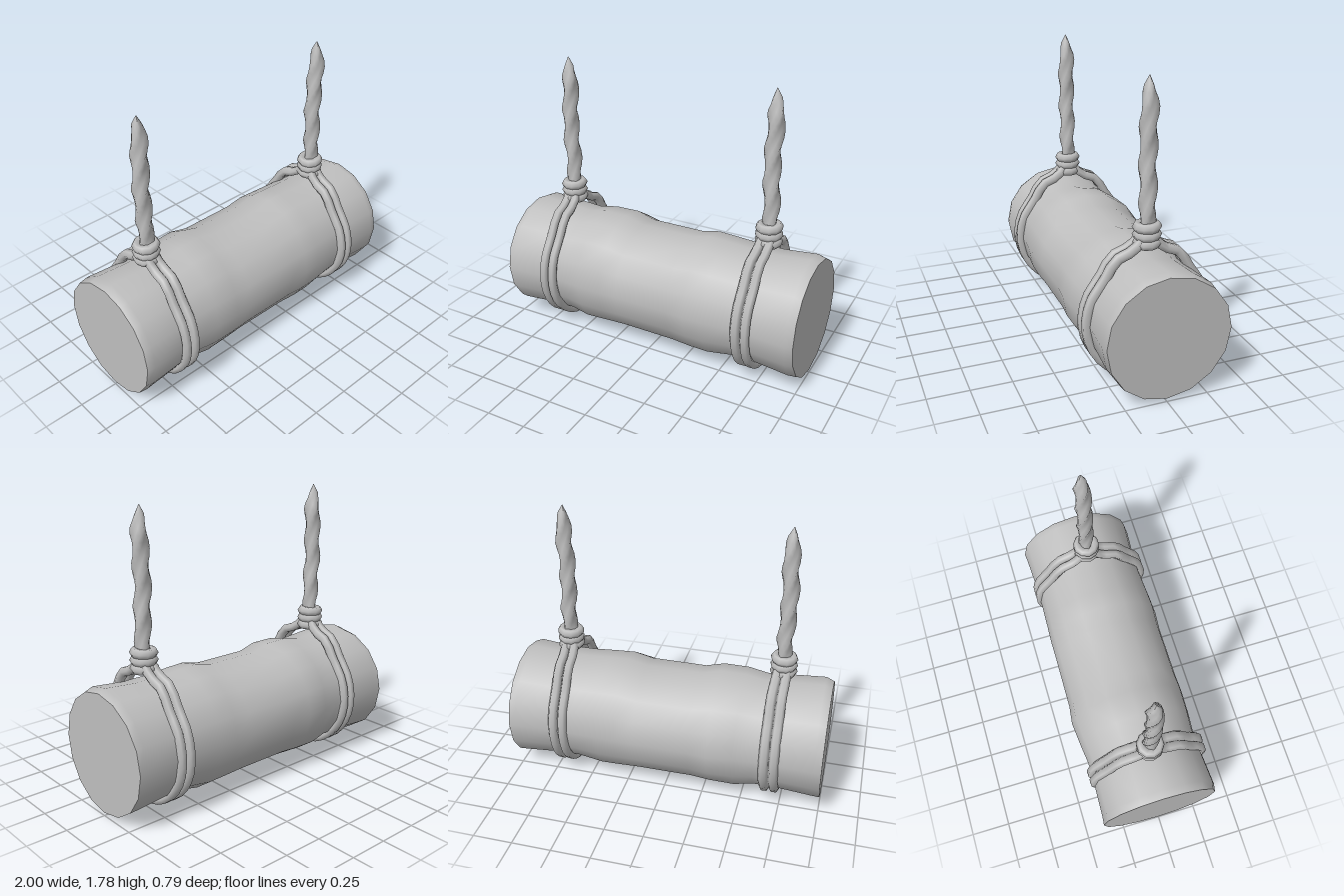
import * as THREE from 'three';

const grey = new THREE.MeshStandardMaterial({ color: 0xbfbfbf });
grey.name = 'grey';

// Joins rings of points into a smooth skin, with optional flat end caps.
function loft(rings, caps) {
  const n = rings[0].length, pos = [], index = [];
  rings.forEach(r => r.forEach(p => pos.push(...p)));
  for (let i = 0; i < rings.length - 1; i++) {
    for (let j = 0; j < n; j++) {
      const a = i * n + j, b = i * n + (j + 1) % n;
      index.push(a, b, a + n, b, b + n, a + n);
    }
  }
  if (caps) {
    [rings[0], rings[rings.length - 1]].forEach((r, end) => {
      const s = pos.length / 3;
      r.forEach(p => pos.push(...p));
      for (let j = 1; j < n - 1; j++) {
        index.push(s, end ? s + j : s + j + 1, end ? s + j + 1 : s + j);
      }
    });
  }
  const g = new THREE.BufferGeometry();
  g.setAttribute('position', new THREE.Float32BufferAttribute(pos, 3));
  g.setIndex(index);
  g.computeVertexNormals();
  return g;
}

function add(parent, geometry, name) {
  const mesh = new THREE.Mesh(geometry, grey);
  mesh.name = name;
  parent.add(mesh);
  return mesh;
}

// Uneven log: x, top y, bottom y, front z, back z at each station
function logGeometry() {
  const stations = [
    [-1, 0.765, 0.03, 0.365, -0.385],
    [-0.95, 0.79, 0.03, 0.375, -0.38],
    [-0.72, 0.775, 0.05, 0.36, -0.37],
    [-0.58, 0.765, 0.05, 0.355, -0.37],
    [-0.46, 0.79, 0.02, 0.365, -0.385],
    [-0.3, 0.79, 0.035, 0.37, -0.4],
    [-0.18, 0.755, 0.04, 0.365, -0.385],
    [0.18, 0.757, 0.035, 0.365, -0.38],
    [0.3, 0.785, 0.028, 0.375, -0.38],
    [0.42, 0.78, 0.02, 0.37, -0.375],
    [0.58, 0.77, 0.055, 0.36, -0.37],
    [0.74, 0.77, 0.05, 0.355, -0.37],
    [0.95, 0.79, 0.03, 0.37, -0.38],
    [1, 0.77, 0.03, 0.36, -0.385]
  ];
  const sides = 16, cy = 0.405;
  return loft(stations.map(([x, top, bottom, front, back]) =>
    Array.from({ length: sides }, (_, j) => {
      const a = j / sides * Math.PI * 2, c = Math.cos(a), s = Math.sin(a);
      return [x, cy + c * (c > 0 ? top - cy : cy - bottom), s * (s > 0 ? front : -back)];
    })), true);
}

// Three-lobed twisted rope ending in a blunt point
function ropeGeometry() {
  const sides = 9, steps = 22, rings = [];
  for (let i = 0; i <= steps; i++) {
    const t = i / steps, y = 0.9 + 0.84 * t;
    const scale = Math.min(1, 0.85 + t * 0.6, 0.55 + (1 - t) * 4);
    rings.push(Array.from({ length: sides }, (_, j) => {
      const a = j / sides * Math.PI * 2;
      const r = (0.046 + 0.009 * Math.cos(3 * a)) * scale, w = a + t * 8;
      return [Math.sin(w) * r + 0.005 * Math.sin(t * 9), y, Math.cos(w) * r];
    }));
  }
  const last = rings[steps];
  rings.push(last.map(p => [p[0] * 0.08, 1.79, p[2] * 0.08]));
  return loft(rings, true);
}

// One strand passing under the log and rising to the knot on both sides
function strandGeometry(x, knotX) {
  const points = [[knotX, 0.9, 0.02], [x * 0.7 + knotX * 0.3, 0.825, 0.08], [x, 0.775, 0.19]]
    .map(p => new THREE.Vector3(...p));
  const count = 13;
  for (let i = 0; i <= count; i++) {
    const a = 0.8 + i / count * (Math.PI * 2 - 1.6);
    points.push(new THREE.Vector3(x, 0.405 + Math.cos(a) * 0.367, Math.sin(a) * 0.367));
  }
  for (let i = 2; i >= 0; i--) {
    points.push(new THREE.Vector3(points[i].x, points[i].y, -points[i].z));
  }
  return new THREE.TubeGeometry(new THREE.CatmullRomCurve3(points), 36, 0.031, 6);
}

export function createModel() {
  const model = new THREE.Group();
  model.name = 'hangingLog';
  add(model, logGeometry(), 'log');

  [['right', -0.692, [-0.712, -0.65]], ['left', 0.684, [0.643, 0.705]]].forEach(([side, x, strands]) => {
    const hanger = new THREE.Group();
    hanger.name = side + 'Hanger';
    model.add(hanger);
    add(hanger, ropeGeometry(), 'twistedRope').position.x = x;
    strands.forEach((sx, i) =>
      add(hanger, strandGeometry(sx, x + (i ? 0.025 : -0.025)), 'loopStrand' + (i + 1)));
    // Three wraps bind the rope above the log
    [0.855, 0.9, 0.945].forEach((y, i) => {
      const wrap = add(hanger, new THREE.TorusGeometry(0.055, 0.03, 6, 10), 'knotWrap' + (i + 1));
      wrap.position.set(x, y, 0);
      wrap.rotation.set(Math.PI / 2, (i - 1) * 0.06, 0);
    });
  });
  return model;
}
